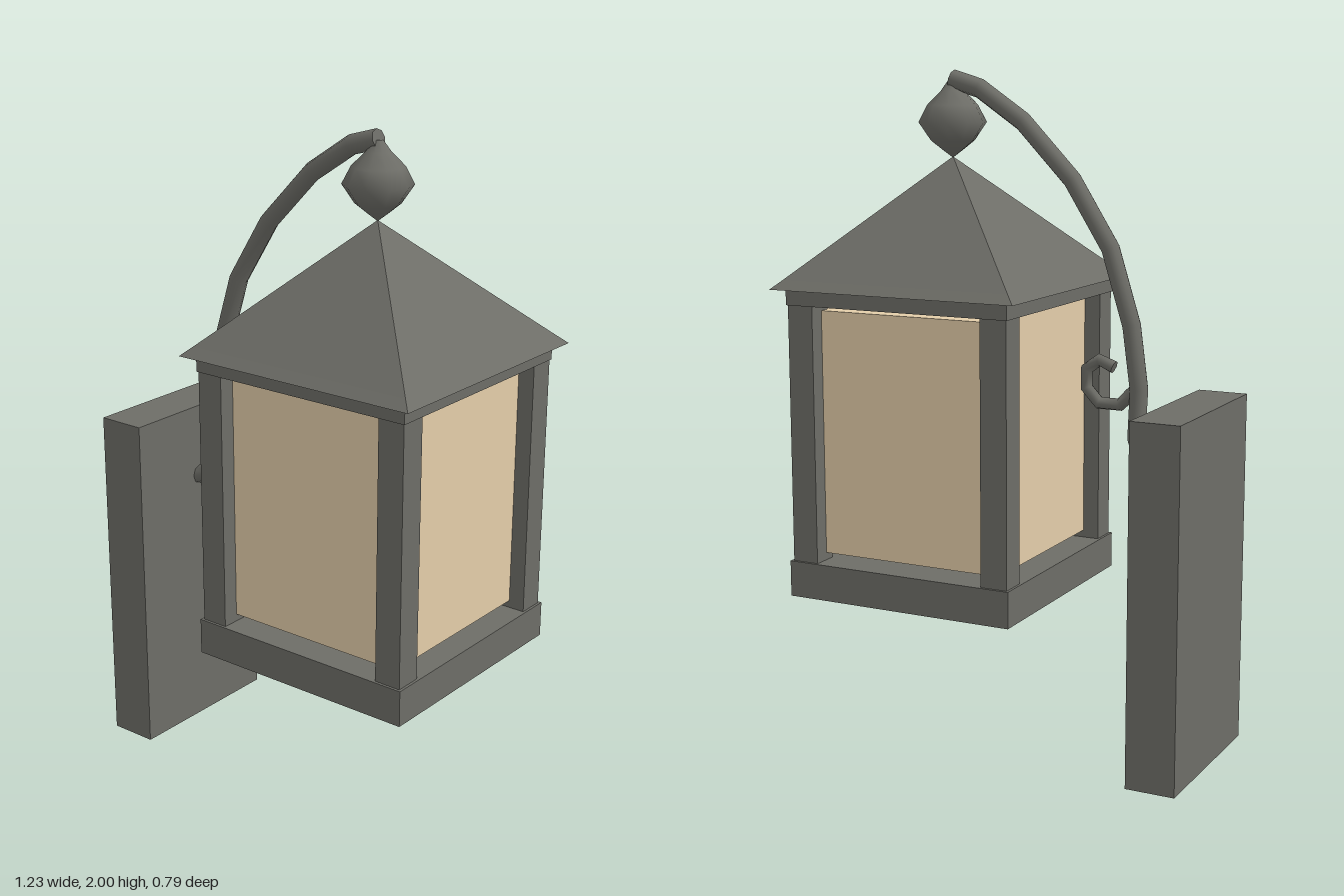
import * as THREE from 'three';

const iron = new THREE.MeshStandardMaterial({ color: 0x6d6d67 });
iron.name = 'darkIron';
const amber = new THREE.MeshStandardMaterial({ color: 0xe3cda9 });
amber.name = 'amberGlass';

const CX = 0.22; // lantern axis

function add(parent, name, geometry, material, x = 0, y = 0, z = 0) {
  const mesh = new THREE.Mesh(geometry, material);
  mesh.name = name;
  mesh.position.set(x, y, z);
  parent.add(mesh);
  return mesh;
}

// Box given by its size, bottom height and centre
function box(parent, name, material, w, y0, y1, d, x = 0, z = 0) {
  return add(parent, name, new THREE.BoxGeometry(w, y1 - y0, d), material, x, (y0 + y1) / 2, z);
}

// Square, flat-faced tier tapering between two half-widths
function tier(parent, name, half0, half1, y0, y1) {
  const r = Math.SQRT2;
  const geometry = new THREE.CylinderGeometry(half1 * r, half0 * r, y1 - y0, 4).toNonIndexed();
  geometry.rotateY(Math.PI / 4);
  geometry.computeVertexNormals();
  add(parent, name, geometry, iron, 0, (y0 + y1) / 2, 0);
}

// Round bar with one ring per path point and flat end caps
function bar(parent, name, points, radius) {
  const group = new THREE.Group();
  group.name = name;
  const path = points.map(([x, y]) => new THREE.Vector3(x, y, 0));
  const curve = new THREE.CatmullRomCurve3(path);
  curve.getPointAt = curve.getPoint;
  curve.getTangentAt = curve.getTangent;
  add(group, name + 'Tube', new THREE.TubeGeometry(curve, path.length - 1, radius, 8), iron);
  for (const t of [0, 1]) {
    const p = curve.getPoint(t);
    const dir = curve.getTangent(t).multiplyScalar(t ? 1 : -1);
    const cap = add(group, name + 'Cap', new THREE.CircleGeometry(radius, 8), iron, p.x, p.y, p.z);
    cap.lookAt(p.clone().add(dir));
  }
  parent.add(group);
}

export function createModel() {
  const model = new THREE.Group();
  model.name = 'wallLantern';

  // Wall plate and curved bracket
  box(model, 'wallPlate', iron, 0.15, 0, 1.063, 0.53, -0.539);
  bar(model, 'bracketArm', [
    [-0.472, 0.833], [-0.407, 0.861], [-0.375, 0.958], [-0.381, 1.1], [-0.356, 1.283],
    [-0.288, 1.5], [-0.168, 1.69], [-0.01, 1.853], [0.13, 1.946], [0.22, 1.972],
  ], 0.0285);
  bar(model, 'bracketScroll', [
    [-0.388, 1.115], [-0.355, 1.083], [-0.322, 1.051], [-0.257, 1.051],
    [-0.217, 1.093], [-0.217, 1.148], [-0.257, 1.177], [-0.303, 1.159],
  ], 0.019);

  const lantern = new THREE.Group();
  lantern.name = 'lantern';
  lantern.position.x = CX;
  model.add(lantern);

  // Base tray, corner posts and top frame
  box(lantern, 'baseTray', iron, 0.726, 0.454, 0.562, 0.726);
  for (const sx of [-1, 1]) {
    for (const sz of [-1, 1]) {
      box(lantern, 'cornerPost', iron, 0.082, 0.562, 1.333, 0.082, sx * 0.314, sz * 0.314);
    }
  }
  box(lantern, 'topFrame', iron, 0.718, 1.329, 1.376, 0.718);

  // Glass body between the posts, with a narrow gap above and below
  box(lantern, 'glassBody', amber, 0.61, 0.584, 1.312, 0.61);

  // Eaves and pyramid roof
  tier(lantern, 'eaves', 0.393, 0.365, 1.376, 1.402);
  tier(lantern, 'roof', 0.365, 0, 1.402, 1.748);

  // Turned finial
  const profile = [
    [0, 1.745], [0.027, 1.765], [0.065, 1.795], [0.101, 1.848],
    [0.075, 1.898], [0.035, 1.938], [0.012, 1.97],
  ].map(([r, y]) => new THREE.Vector2(r, y));
  add(lantern, 'finial', new THREE.LatheGeometry(profile, 10, Math.PI / 2), iron);

  return model;
}
